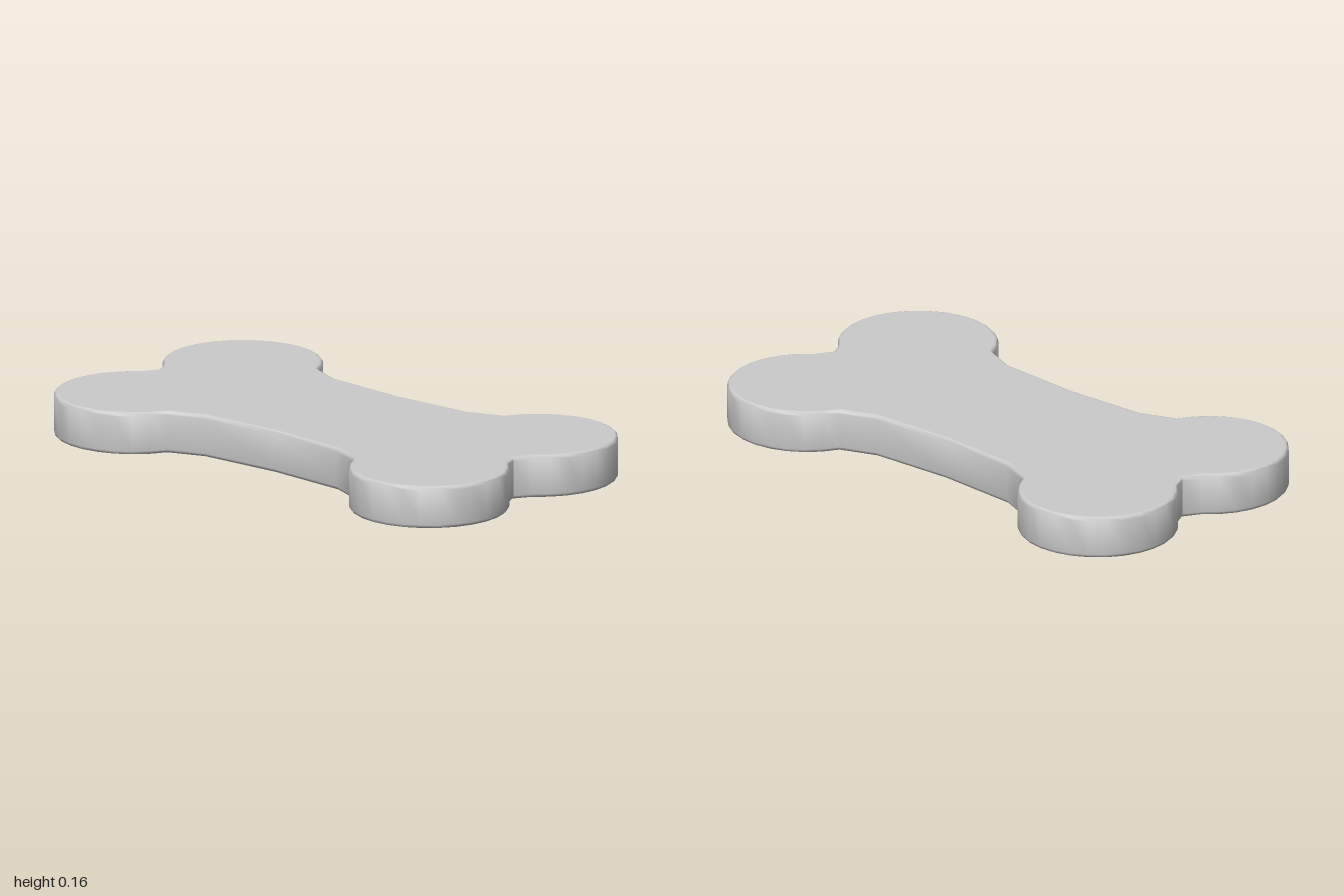
import * as THREE from 'three';
import { toCreasedNormals } from 'three/addons/utils/BufferGeometryUtils.js';

const HEIGHT = 0.155, BEVEL = 0.014;
const LOBE = { x: 0.715, z: 0.282, r: 0.285, from: -0.9, to: 2.75, steps: 16 };

// One quarter of the outline, from the end notch round the lobe to the waist
function quarterOutline() {
  const points = [[0.86, 0]];
  for (let i = 0; i <= LOBE.steps; i++) {
    const a = LOBE.from + (LOBE.to - LOBE.from) * i / LOBE.steps;
    points.push([LOBE.x + LOBE.r * Math.cos(a), LOBE.z + LOBE.r * Math.sin(a)]);
  }
  points.push([0.32, 0.338], [0, 0.32]);
  return points;
}

// Mirror the quarter into a closed counter-clockwise outline
function boneShape() {
  const q = quarterOutline();
  const back = [...q].reverse();
  const flip = (list, sx, sy) => list.map(([x, y]) => [x * sx, y * sy]);
  const outline = [
    ...q.slice(0, -1),
    ...flip(back, -1, 1).slice(0, -1),
    ...flip(q, -1, -1).slice(0, -1),
    ...flip(back, 1, -1).slice(0, -1),
  ];
  return new THREE.Shape(outline.map(([x, y]) => new THREE.Vector2(x, y)));
}

// Keep the large top and bottom faces evenly flat
function flattenCaps(geometry) {
  const p = geometry.attributes.position, n = geometry.attributes.normal;
  for (let i = 0; i < p.count; i += 3) {
    const ys = [p.getY(i), p.getY(i + 1), p.getY(i + 2)];
    if (Math.max(...ys) - Math.min(...ys) > 1e-5) continue;
    const up = ys[0] > HEIGHT / 2 ? 1 : -1;
    for (let k = 0; k < 3; k++) n.setXYZ(i + k, 0, up, 0);
  }
}

export function createModel() {
  const group = new THREE.Group();
  group.name = 'boneTag';

  // Flat bone plate with softly rounded rims
  let geometry = new THREE.ExtrudeGeometry(boneShape(), {
    depth: HEIGHT - 2 * BEVEL,
    bevelEnabled: true,
    bevelThickness: BEVEL,
    bevelSize: BEVEL,
    bevelOffset: -BEVEL,
    bevelSegments: 3,
  });
  geometry.rotateX(-Math.PI / 2);
  geometry.translate(0, BEVEL, 0);
  geometry = toCreasedNormals(geometry, 0.9);
  flattenCaps(geometry);

  const plate = new THREE.Mesh(geometry, new THREE.MeshStandardMaterial({ color: 0xcccccc }));
  plate.name = 'bonePlate';
  group.add(plate);
  return group;
}
